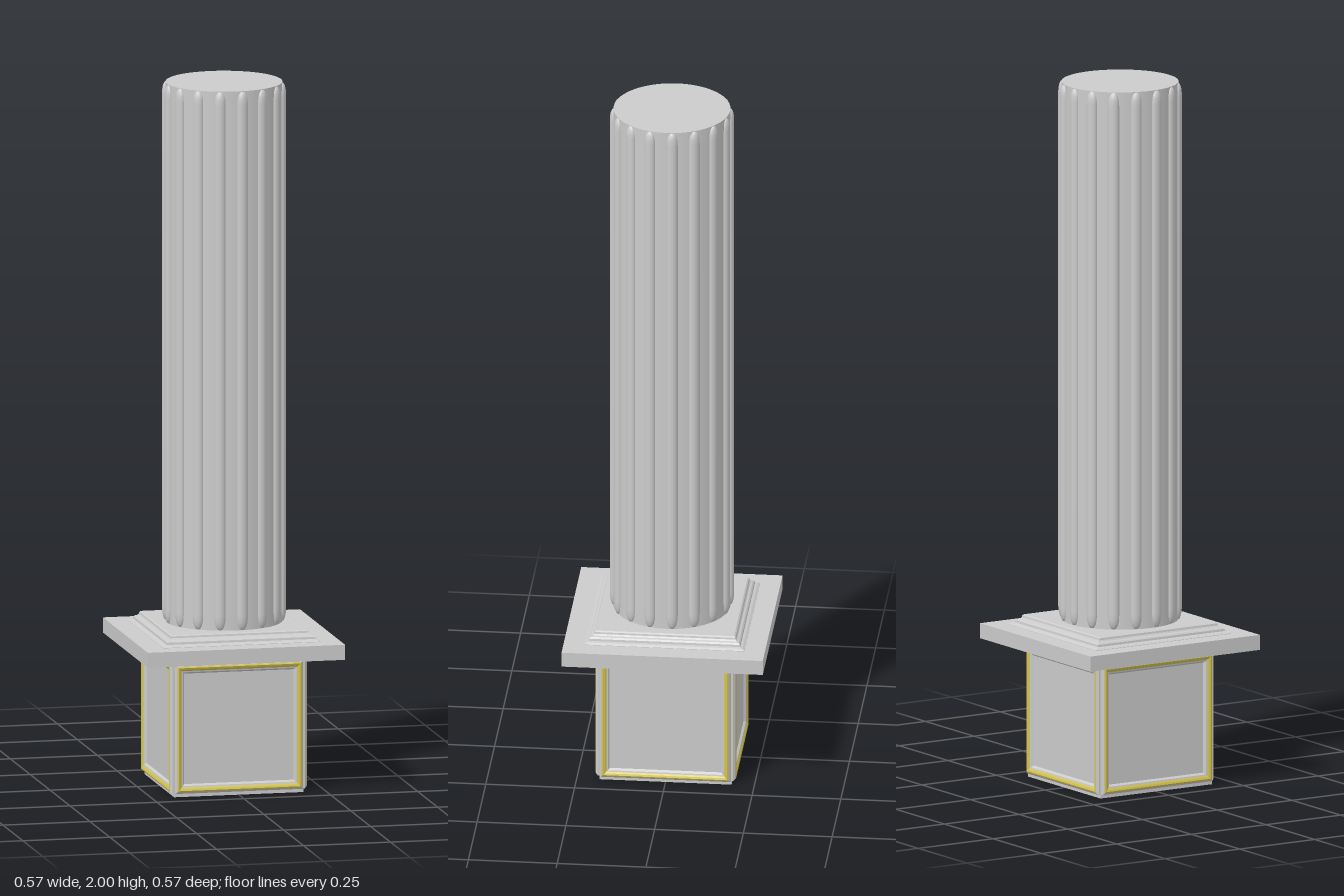
import * as THREE from 'three';

const grey = new THREE.MeshStandardMaterial({ color: 0xcccccc });
const gold = new THREE.MeshStandardMaterial({ color: 0xd2c250 });

function add(parent, name, geometry, material = grey) {
  const mesh = new THREE.Mesh(geometry, material);
  mesh.name = name;
  parent.add(mesh);
  return mesh;
}

// Sweeps a [half-width, height] profile around a square, with mitred corners
function squareSweep(profile) {
  const points = profile.map(([r, y]) => new THREE.Vector2(r * Math.SQRT2, y));
  const geometry = new THREE.LatheGeometry(points, 4).rotateY(Math.PI / 4).toNonIndexed();
  geometry.computeVertexNormals();
  return geometry;
}

export function createModel() {
  const model = new THREE.Group();
  model.name = 'flutedColumn';

  // Pedestal block
  add(model, 'pedestal', new THREE.BoxGeometry(0.372, 0.39, 0.372)).position.y = 0.195;

  // Raised panel frame on each side: grey edges with a gold band between
  const outerEdge = squareSweep([[0.184, 0], [0.184, 0.005], [0.179, 0.011]]);
  const band = squareSweep([[0.179, 0.011], [0.175, 0.013], [0.17, 0.011], [0.166, 0.008]]);
  const innerEdge = squareSweep([[0.166, 0.008], [0.162, 0.007], [0.157, 0]]);
  for (let i = 0; i < 4; i++) {
    const side = new THREE.Group();
    side.name = 'panelFrame';
    const frame = new THREE.Group();
    frame.name = 'frameMoulding';
    add(frame, 'frameOuterEdge', outerEdge);
    add(frame, 'frameGoldBand', band, gold);
    add(frame, 'frameInnerEdge', innerEdge);
    frame.rotation.x = Math.PI / 2;
    frame.position.set(0, 0.194, 0.1855);
    side.add(frame);
    side.rotation.y = i * Math.PI / 2;
    model.add(side);
  }

  // Wide slab over the pedestal
  add(model, 'slab', new THREE.BoxGeometry(0.567, 0.043, 0.567)).position.y = 0.4115;

  // Stepped square moulding under the shaft
  add(model, 'baseMoulding', squareSweep([
    [0.226, 0.43], [0.226, 0.434], [0.22, 0.438], [0.213, 0.44], [0.212, 0.446],
    [0.208, 0.45], [0.202, 0.452], [0.199, 0.456], [0.198, 0.461], [0.194, 0.464], [0, 0.464],
  ]));

  // Shaft core
  add(model, 'shaft', new THREE.CylinderGeometry(0.164, 0.164, 1.54, 64)).position.y = 1.23;

  // Half-round ribs with tapered ends
  const ribProfile = [
    [0, 0.464], [0.4, 0.466], [0.75, 0.475], [0.94, 0.488], [1, 0.505],
    [1, 1.96], [0.94, 1.977], [0.75, 1.989], [0.4, 1.997], [0, 1.999],
  ].map(([r, y]) => new THREE.Vector2(r, y));
  const ribGeometry = new THREE.LatheGeometry(ribProfile, 14).scale(0.012, 1, 0.016);
  ribGeometry.translate(0.1625, 0, 0);
  const ribs = new THREE.Group();
  ribs.name = 'ribs';
  const count = 16;
  for (let i = 0; i < count; i++) {
    add(ribs, 'rib', ribGeometry).rotation.y = 0.1 + (i / count) * Math.PI * 2;
  }
  model.add(ribs);

  return model;
}
